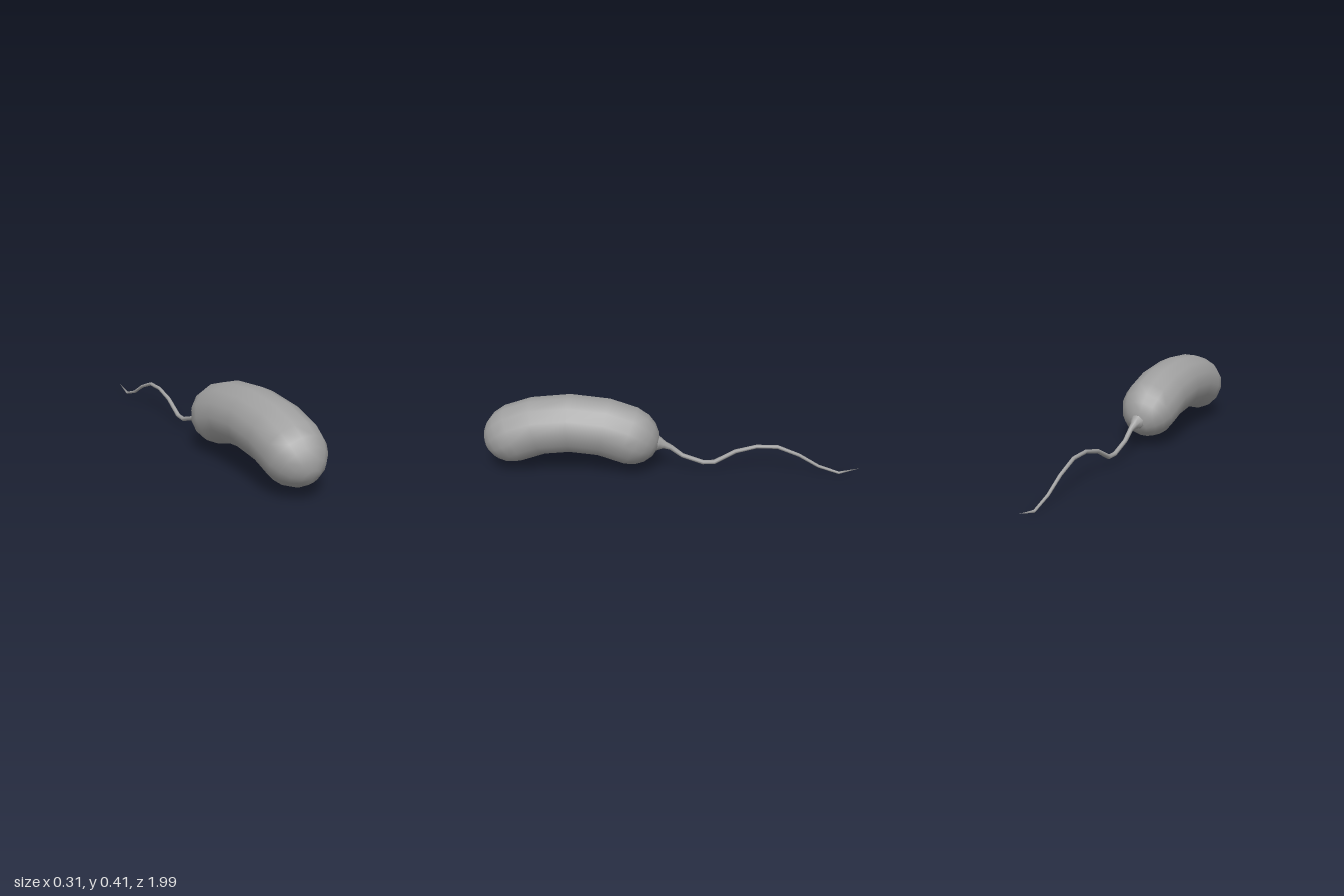
import * as THREE from 'three';
import { mergeVertices } from 'three/addons/utils/BufferGeometryUtils.js';

// Skin round sections [z, y, radius, tilt] listed from front to back.
function sweep(rings, sides) {
  const pos = [], index = [];
  rings.forEach(([z, y, r, t], i) => {
    for (let j = 0; j < sides; j++) {
      const a = ((j + 0.5) / sides) * Math.PI * 2;
      const up = r * Math.cos(a);
      pos.push(r * Math.sin(a), y + up * Math.cos(t), z + up * Math.sin(t));
      if (i === rings.length - 1) continue;
      const k = (j + 1) % sides, p = i * sides, q = p + sides;
      index.push(p + j, p + k, q + j, p + k, q + k, q + j);
    }
  });
  let g = new THREE.BufferGeometry();
  g.setAttribute('position', new THREE.Float32BufferAttribute(pos, 3));
  g.setIndex(index);
  g = mergeVertices(g, 1e-5);
  g.computeVertexNormals();
  return g;
}

export function createModel() {
  const grey = new THREE.MeshStandardMaterial({ color: 0xa0a0a0 });
  grey.name = 'grey';
  const group = new THREE.Group();
  group.name = 'bacterium';
  const add = (name, geometry) => {
    const mesh = new THREE.Mesh(geometry, grey);
    mesh.name = name;
    group.add(mesh);
  };

  // Bent capsule: half of the spine, mirrored about its middle
  const mid = 0.528, R = 0.155, capTilt = 0.5, capLength = 0.18;
  const half = [];
  for (let i = 5; i >= 1; i--) {
    const a = (i / 5) * Math.PI / 2, d = capLength * Math.sin(a);
    const r = i === 5 ? 0 : R * Math.cos(a);
    half.push([0.292 + d * Math.cos(capTilt), 0.208 - d * Math.sin(capTilt), r, capTilt]);
  }
  half.push([0.292, 0.208, R, 0.4], [0.175, 0.247, R, 0.22]);
  const front = half.map(([d, y, r, t]) => [mid + d, y, r, t]);
  const back = half.map(([d, y, r, t]) => [mid - d, y, r, -t]).reverse();
  add('body', sweep([...front, [mid, 0.265, R, 0], ...back], 14));

  // Wavy flagellum with a flared root, tapering to a point
  const path = [
    [0.11, 0.165, 0.06], [0.06, 0.158, 0.034], [0.035, 0.15, 0.02], [0, 0.136, 0.014],
    [-0.06, 0.091, 0.012], [-0.17, 0.053, 0.012], [-0.23, 0.056, 0.012],
    [-0.34, 0.121, 0.011], [-0.45, 0.152, 0.01], [-0.56, 0.152, 0.01],
    [-0.675, 0.107, 0.009], [-0.78, 0.045, 0.008], [-0.89, 0.008, 0.007], [-1, 0.038, 0],
  ];
  const tail = path.map(([z, y, r], i) => {
    const a = path[Math.max(i - 1, 0)], b = path[Math.min(i + 1, path.length - 1)];
    return [z, y, r, Math.atan2(b[1] - a[1], a[0] - b[0])];
  });
  add('flagellum', sweep(tail, 8));
  return group;
}
